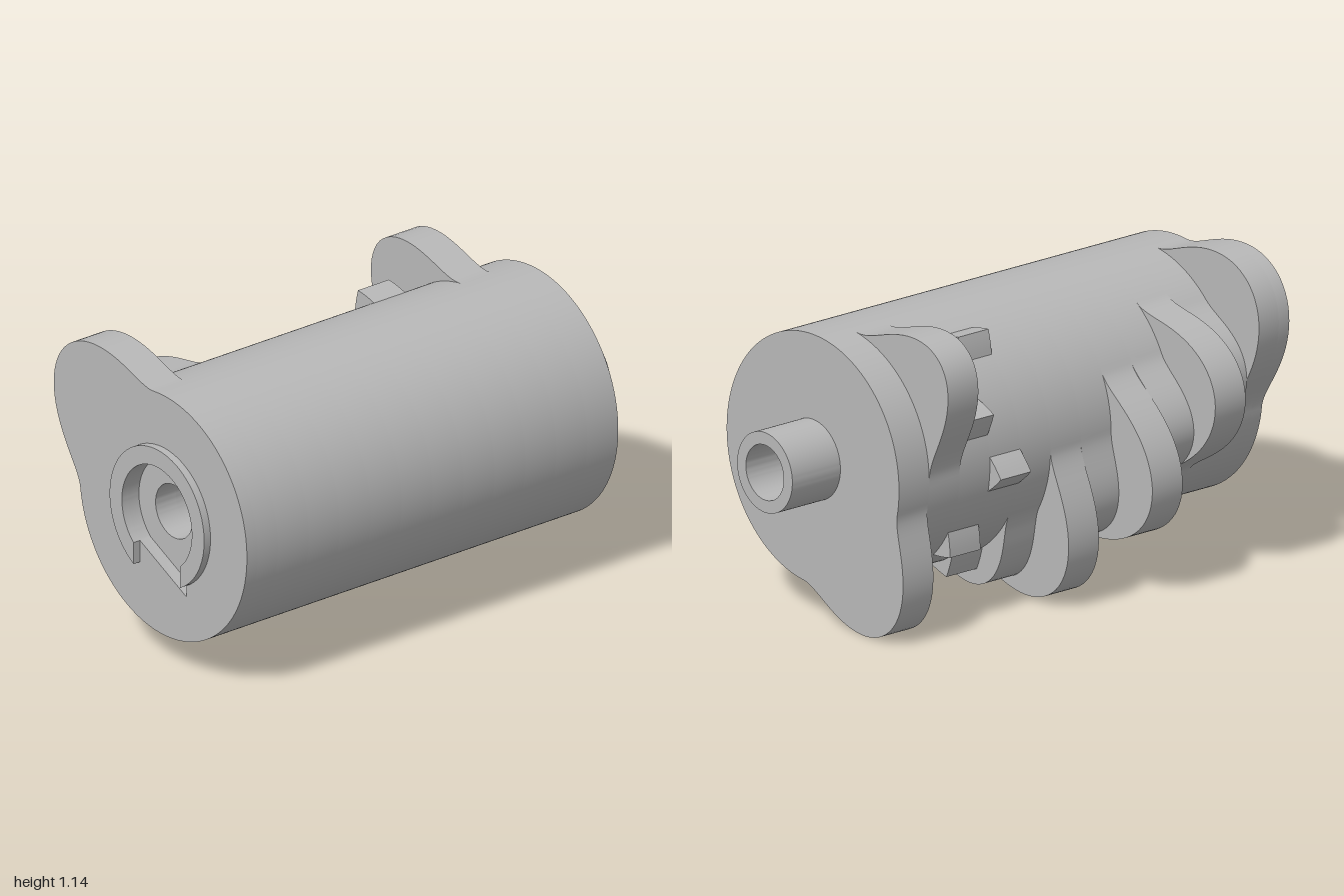
import * as THREE from 'three';
import { toCreasedNormals } from 'three/addons/utils/BufferGeometryUtils.js';

const R = 0.478, BORE = 0.105, PITCH = 0.145, START = -0.97;
const RAD = Math.PI / 180;

// Cam discs from the slotted end to the shaft end.
// Lobe: angle (0 = back, 90 = up), peak radius, half width in degrees.
const lobe = (angle, peak, half, power = 1.8) => ({ angle, peak, half, power });
const tooth = (angle) => ({ angle, peak: 0.54, half: 8, tooth: true });
const discs = [
  [lobe(38, 0.735, 45)],
  [lobe(14, 0.57, 32)],
  [lobe(10, 0.728, 43)],
  [lobe(-4, 0.602, 32)],
  [lobe(-19, 0.735, 46)],
  [lobe(-34, 0.59, 34)],
  [lobe(-46, 0.733, 45)],
  [lobe(-62, 0.6, 32)],
  [tooth(56), tooth(-4), tooth(-64)],
  [tooth(22), tooth(-38)],
  [lobe(41, 0.715, 41, 2.2)],
  [lobe(-54, 0.697, 42)],
];

function radiusAt(deg, bumps) {
  let r = R;
  for (const b of bumps) {
    const d = Math.abs(((deg - b.angle + 540) % 360) - 180);
    if (d >= b.half) continue;
    const f = b.tooth ? 1 - d / b.half : Math.cos((d / b.half) * Math.PI / 2) ** b.power;
    r = Math.max(r, R + (b.peak - R) * f);
  }
  return r;
}

function discShape(bumps, hole) {
  const pts = [];
  for (let deg = 0; deg < 360; deg += 2) {
    const r = radiusAt(deg, bumps);
    pts.push(new THREE.Vector2(r * Math.cos(deg * RAD), r * Math.sin(deg * RAD)));
  }
  const shape = new THREE.Shape(pts);
  shape.holes.push(hole);
  return shape;
}

function circle(r, Type = THREE.Path) {
  const p = new Type();
  p.absarc(0, 0, r, 0, Math.PI * 2, false);
  return p;
}

export function createModel() {
  const grey = new THREE.MeshStandardMaterial({ color: 0xb8b8b8 });
  grey.name = 'grey';
  const model = new THREE.Group();
  model.name = 'camDrum';

  // Extrude a cross-section along +x, around the drum axis
  const slab = (name, shape, x0, x1) => {
    const flat = new THREE.ExtrudeGeometry(shape, { depth: x1 - x0, bevelEnabled: false, curveSegments: 48 });
    const geo = toCreasedNormals(flat, 0.5);
    geo.rotateY(Math.PI / 2);
    geo.translate(x0, 0.615, 0.12);
    const mesh = new THREE.Mesh(geo, grey);
    mesh.name = name;
    model.add(mesh);
  };

  // Keyhole recess outline: round pocket with a slot downwards
  const inner = 0.2, outer = 0.27, slot = 0.133;
  const aIn = -Math.acos(slot / inner), aOut = -Math.acos(slot / outer);
  const keyhole = new THREE.Path();
  keyhole.moveTo(slot, -0.28);
  keyhole.absarc(0, 0, inner, aIn, Math.PI - aIn, false);
  keyhole.lineTo(-slot, -0.28);
  keyhole.closePath();

  // Cam discs; the first has the keyhole sunk into its outer face
  const pocket = 0.05;
  discs.forEach((bumps, i) => {
    let x0 = START + i * PITCH;
    const x1 = START + (i + 1) * PITCH;
    if (i === 0) {
      slab('keyedCamFace', discShape(bumps, keyhole), x0, x0 + pocket);
      x0 += pocket;
    }
    slab('camDisc' + (i + 1), discShape(bumps, circle(BORE)), x0, x1);
  });

  // Open collar on the slotted end
  const collar = new THREE.Shape();
  collar.absarc(0, 0, outer, aOut, Math.PI - aOut, false);
  collar.absarc(0, 0, inner, Math.PI - aIn, aIn, true);
  collar.closePath();
  slab('slottedCollar', collar, -1, START);

  // Hollow shaft on the other end
  const shaft = circle(0.153, THREE.Shape);
  shaft.holes.push(circle(BORE));
  slab('hollowShaft', shaft, 0.77, 1);

  return model;
}
